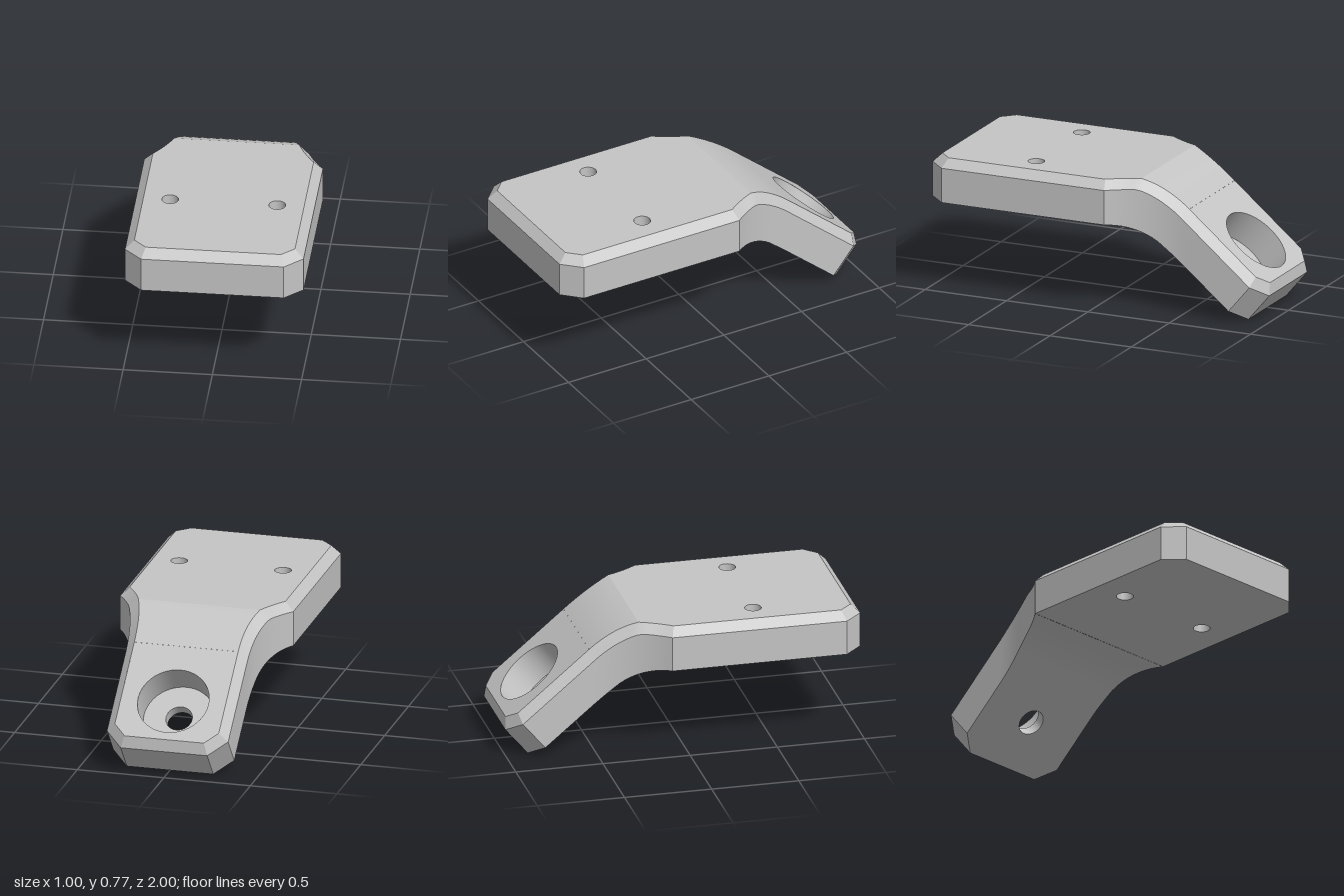
import * as THREE from 'three';
import { toCreasedNormals } from 'three/addons/utils/BufferGeometryUtils.js';

const V = (x, y, z) => new THREE.Vector3(x, y, z);
const BEND = THREE.MathUtils.degToRad(40), C = Math.cos(BEND), S = Math.sin(BEND);
const TOP = 0.77, LOW = 0.52, THICK = 0.25, CHAMFER = 0.05;

// Point on the sloping tongue: s measured up from its tip, h above its underside
const tongue = (x, s, h) => V(x, S * s + C * h, -0.87 + C * s - S * h);
// Point on the level plate, a measured toward the back
const level = (y) => (x, a) => V(x, y, -a);

// Heights of the bent top, chamfer line and underside along z
const bendT = (z) => THREE.MathUtils.clamp((-0.26 - z) / 0.27, 0, 1);
const topY = (z) => { const t = bendT(z); return TOP - 0.27 * (0.331 * t + 0.254 * t * t); };
const chamferY = (z) => topY(z) - CHAMFER * (1 + 0.305 * bendT(z));
function lowY(z) {
  if (z > -0.07) return LOW;
  return z > -0.388 ? LOW - 0.5 + Math.sqrt(0.25 - (z + 0.07) ** 2) : (z + 0.87) * S / C;
}

function quads(list) {
  const pos = [];
  for (const [a, b, c, d] of list) for (const p of [a, b, c, a, c, d]) pos.push(p.x, p.y, p.z);
  const g = new THREE.BufferGeometry();
  g.setAttribute('position', new THREE.Float32BufferAttribute(pos, 3));
  return toCreasedNormals(g, 0.26);
}

// Flat face with round holes, given its right half outline as [x, a]
function face(half, holes, map, down = false) {
  const pts = [...half, ...half.map(([x, a]) => [-x, a]).reverse()];
  const shape = new THREE.Shape(pts.map(([x, a]) => new THREE.Vector2(x, a)));
  for (const [x, a, r] of holes) shape.holes.push(new THREE.Path().absarc(x, a, r, 0, Math.PI * 2, true));
  const g = new THREE.ShapeGeometry(shape, 24), p = g.attributes.position;
  for (let i = 0; i < p.count; i++) {
    const v = map(p.getX(i), p.getY(i));
    p.setXYZ(i, v.x, v.y, v.z);
  }
  if (down) g.index.array.reverse();
  g.computeVertexNormals();
  return g;
}

export function createModel() {
  const model = new THREE.Group();
  model.name = 'bentBracket';
  const grey = new THREE.MeshStandardMaterial({ color: 0xc4c4c4, side: THREE.DoubleSide });
  grey.name = 'grey';
  const add = (name, geometry, parent = model) => {
    const m = new THREE.Mesh(geometry, grey);
    m.name = name;
    parent.add(m);
    return m;
  };

  // Waist stations: b underside, w top of wall, t inner edge of chamfer
  const angles = [];
  for (let i = 0; i <= 6; i++) angles.push(0.6728 + (0.3736 - 0.6728) * i / 6);
  for (let i = 1; i <= 8; i++) angles.push(0.3736 * (1 - i / 8));
  const waist = angles.map((q, i) => {
    const x = 1.04 - 0.69 * Math.cos(q), z = -0.53 + 0.69 * Math.sin(q);
    const tx = i ? 1.04 - 0.74 * Math.cos(q) : 0.45, tz = i ? -0.53 + 0.74 * Math.sin(q) : -0.083;
    return { b: V(x, lowY(z), z), w: V(x, chamferY(z), z), t: V(tx, topY(tz), tz) };
  });

  // Right half of the rim, front to back, then mirrored
  const flat = (x, z, tx, tz) => ({ b: V(x, LOW, z), w: V(x, TOP - CHAMFER, z), t: V(tx, TOP, tz) });
  const tip = (x, s, tx, ts) => ({ b: tongue(x, s, 0), w: tongue(x, s, THICK - CHAMFER), t: tongue(tx, ts, THICK) });
  const right = [
    flat(0.4, 1, 0.379, 0.95), flat(0.5, 0.9, 0.45, 0.879), ...waist,
    tip(0.35, 0.1, 0.3, 0.121), tip(0.25, 0, 0.229, 0.05),
  ];
  const flip = (p) => V(-p.x, p.y, p.z);
  const mirror = (s) => ({ b: flip(s.b), w: flip(s.w), t: flip(s.t) });
  const rim = [...right, ...right.map(mirror).reverse()];
  const walls = [], chamfers = [];
  rim.forEach((p, i) => {
    const n = rim[(i + 1) % rim.length];
    walls.push([p.b, n.b, n.w, p.w]);
    chamfers.push([p.w, n.w, n.t, p.t]);
  });
  add('sideWall', quads(walls));
  add('topChamfer', quads(chamfers));

  // Curved bend between plate and tongue
  const upper = [], under = [];
  for (let i = 0; i < waist.length - 1; i++) {
    const p = waist[i], n = waist[i + 1];
    upper.push([p.t, n.t, flip(n.t), flip(p.t)]);
    under.push([flip(p.b), flip(n.b), n.b, p.b]);
  }
  add('bendTop', quads(upper));
  add('bendUnderside', quads(under));

  // Level plate with two screw holes
  const screws = [[0.3, -0.41, 0.047], [-0.3, -0.41, 0.047]];
  add('plateTop', face([[0.379, -0.95], [0.45, -0.879], [0.45, 0.083]], screws, level(TOP)));
  add('plateUnderside', face([[0.4, -1], [0.5, -0.9], [0.5, 0.1]], screws, level(LOW), true));
  for (const [x, a, r] of screws) {
    add('screwHole', new THREE.CylinderGeometry(r, r, THICK, 48, 1, true)).position.set(x, LOW + THICK / 2, -a);
  }

  // Sloping tongue with a counterbored hole
  const HS = 0.3, FLOOR = 0.0625, R = 0.203, r = 0.075;
  const at = (h) => (x, a) => tongue(x, -a, h);
  const topS = (-0.53 + 0.87 + S * THICK) / C, lowS = (-0.53 + 0.87) / C;
  add('tongueTop', face([[0.3, -topS], [0.3, -0.121], [0.229, -0.05]], [[0, -HS, R]], at(THICK)));
  add('tongueUnderside', face([[0.35, -lowS], [0.35, -0.1], [0.25, 0]], [[0, -HS, r]], at(0), true));
  const disc = [];
  for (let i = 0; i <= 24; i++) {
    const q = -Math.PI / 2 + Math.PI * (i + 0.5) / 25;
    disc.push([R * Math.cos(q), -HS + R * Math.sin(q)]);
  }
  add('counterboreFloor', face(disc, [[0, -HS, r]], at(FLOOR)));
  for (const [name, rad, h0, h1] of [['counterboreWall', R, FLOOR, THICK], ['boltHole', r, 0, FLOOR]]) {
    const m = add(name, new THREE.CylinderGeometry(rad, rad, h1 - h0, 50, 1, true));
    m.position.copy(tongue(0, HS, (h0 + h1) / 2));
    m.rotation.x = -BEND;
  }
  return model;
}
